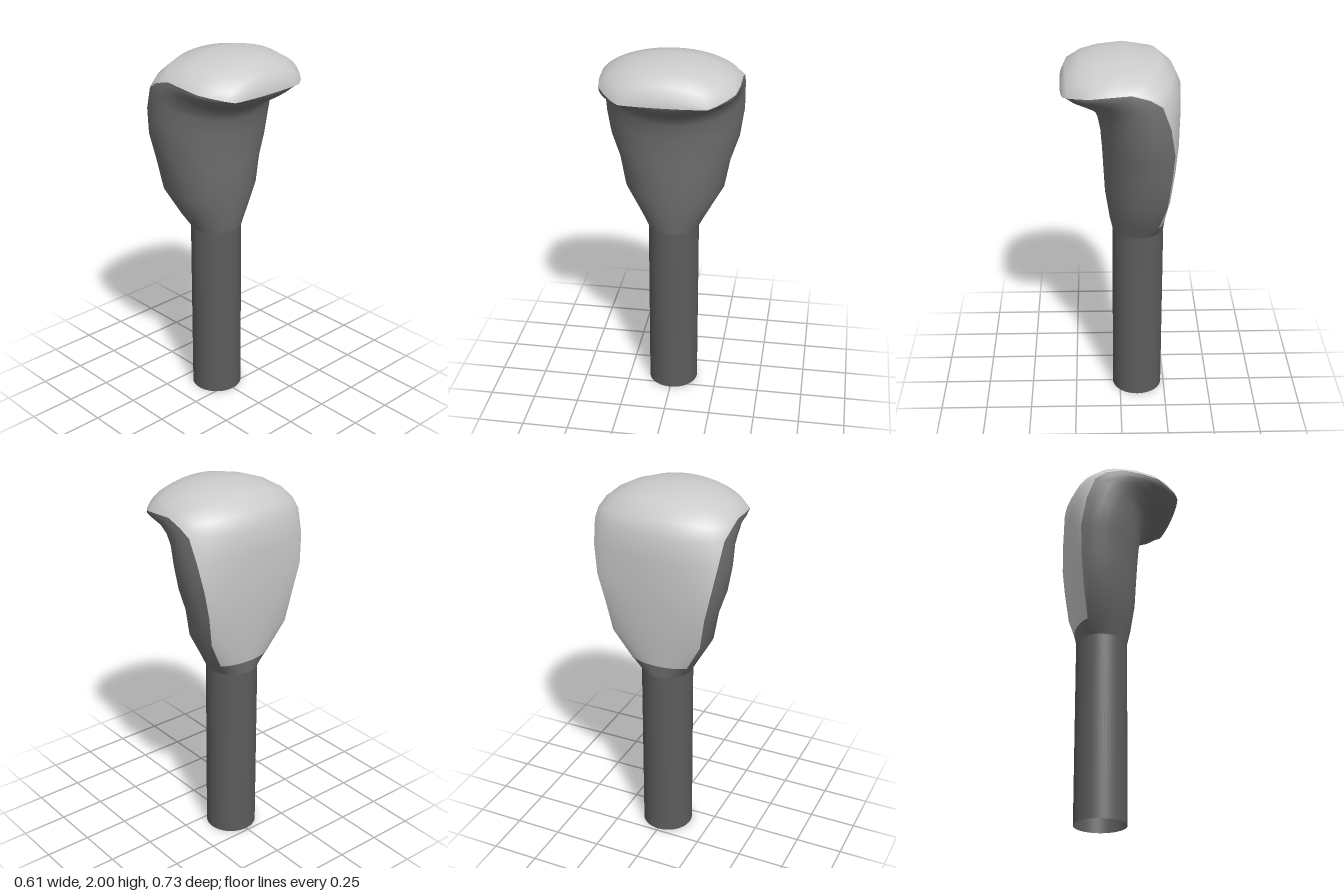
import * as THREE from 'three';

const grey = (color) => new THREE.MeshStandardMaterial({ color, side: THREE.DoubleSide });
const coverMaterial = grey(0xcccccc);
const gripMaterial = grey(0x707070);
const shaftMaterial = grey(0x5c5c5c);
const COLS = 24;

// Stations from the neck up the back and over the top to the front lip:
// cover centre x, y | seam x, y, z | underside centre x, y | cover arc, grip arc in degrees
const stations = [
  [-0.234, 1.0, -0.1655, 1.0, 0.119, 0.04, 1.0, 60, 120],
  [-0.242, 1.07, -0.2, 1.07, 0.158, 0.056, 1.07, 60, 117],
  [-0.268, 1.23, -0.238, 1.23, 0.245, 0.079, 1.22, 60, 114],
  [-0.29, 1.4, -0.257, 1.4, 0.275, 0.087, 1.36, 60, 113],
  [-0.302, 1.55, -0.267, 1.55, 0.311, 0.093, 1.47, 60, 115],
  [-0.307, 1.7, -0.243, 1.7, 0.337, 0.102, 1.58, 66, 112],
  [-0.306, 1.82, -0.2, 1.82, 0.35, 0.118, 1.66, 71, 107],
  [-0.27, 1.9, -0.14, 1.86, 0.36, 0.14, 1.71, 76, 102],
  [-0.2, 1.965, -0.05, 1.885, 0.359, 0.175, 1.73, 79, 97],
  [-0.04, 2.0, 0.06, 1.875, 0.357, 0.22, 1.755, 80, 92],
  [0.1, 1.99, 0.15, 1.862, 0.343, 0.255, 1.775, 79, 86],
  [0.2, 1.972, 0.207, 1.85, 0.305, 0.278, 1.79, 77, 79],
  [0.275, 1.93, 0.258, 1.838, 0.262, 0.292, 1.808, 74, 73],
  [0.303, 1.865, 0.277, 1.832, 0.237, 0.301, 1.82, 71, 70],
  [0.305, 1.83, 0.286, 1.828, 0.22, 0.305, 1.83, 68, 68],
];

// Elliptic arc from seam to seam through a centre point
function arcRow(cx, cy, ex, ey, ez, degrees) {
  const max = THREE.MathUtils.degToRad(degrees);
  const row = [];
  for (let j = 0; j <= COLS; j++) {
    const a = max * (2 * j / COLS - 1);
    const f = (1 - Math.cos(a)) / (1 - Math.cos(max));
    row.push([cx + (ex - cx) * f, cy + (ey - cy) * f, ez * Math.sin(a) / Math.sin(max)]);
  }
  return row;
}

// Skin a list of rows
function loft(name, rows, material, flip) {
  const index = [];
  const n = COLS + 1;
  for (let i = 0; i < rows.length - 1; i++) {
    for (let j = 0; j < COLS; j++) {
      const a = i * n + j, b = a + 1, c = a + n, d = c + 1;
      if (flip) index.push(a, c, b, b, c, d);
      else index.push(a, b, c, b, d, c);
    }
  }
  const geometry = new THREE.BufferGeometry();
  geometry.setAttribute('position', new THREE.Float32BufferAttribute(rows.flat(2), 3));
  geometry.setIndex(index);
  geometry.computeVertexNormals();
  const mesh = new THREE.Mesh(geometry, material);
  mesh.name = name;
  return mesh;
}

export function createModel() {
  const model = new THREE.Group();
  model.name = 'gearLever';

  // Straight round shaft, open at the bottom
  const shaft = new THREE.Mesh(new THREE.CylinderGeometry(0.137, 0.137, 1, 48, 1, true), shaftMaterial);
  shaft.name = 'shaft';
  shaft.position.set(-0.097, 0.5, 0);
  model.add(shaft);

  // Knob: light cover over back and top, dark grip below, meeting at a sharp seam
  const backRows = stations.map(([cx, cy, ex, ey, ez, , , arc]) => arcRow(cx, cy, ex, ey, ez, arc));
  const gripRows = stations.map(([, , ex, ey, ez, fx, fy, , arc]) => arcRow(fx, fy, ex, ey, ez, arc));
  const knob = new THREE.Group();
  knob.name = 'knob';
  knob.add(
    loft('knobNeckBack', backRows.slice(0, 2), gripMaterial, false),
    loft('knobCover', backRows.slice(1), coverMaterial, false),
    loft('knobGrip', gripRows, gripMaterial, true),
  );
  model.add(knob);

  return model;
}
